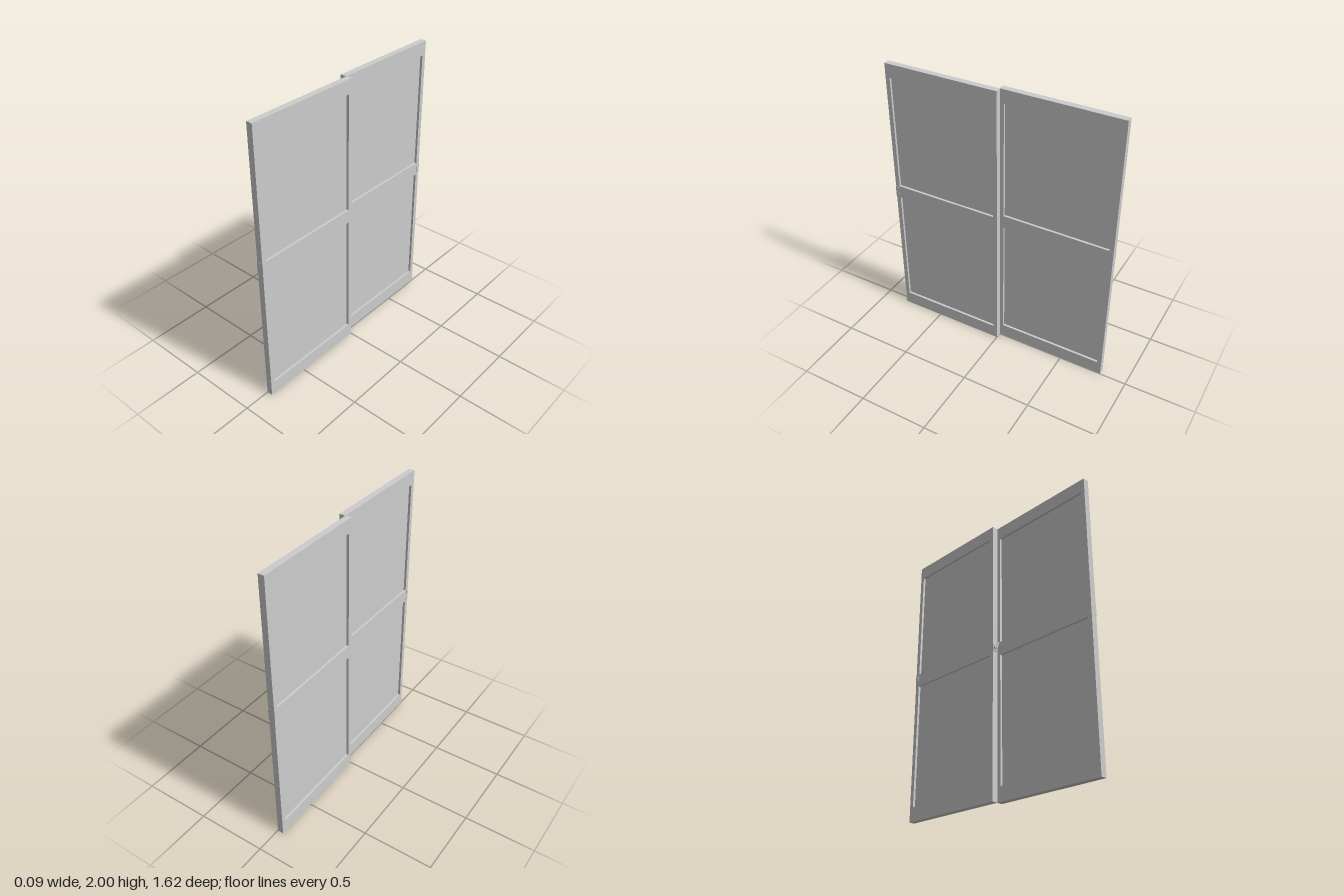
import * as THREE from 'three';

const W = 0.814, H = 2, T = 0.043; // sash width, height, thickness

export function createModel() {
  const grey = new THREE.MeshStandardMaterial({ color: 0xcccccc });
  grey.name = 'plain grey';
  const root = new THREE.Group();
  root.name = 'slidingWindow';

  const add = (parent, name, geo, x = 0, y = 0, z = 0) => {
    const m = new THREE.Mesh(geo, grey);
    m.name = name;
    m.position.set(x, y, z);
    parent.add(m);
    return m;
  };
  const rect = (path, x0, y0, x1, y1) =>
    path.moveTo(x0, y0).lineTo(x1, y0).lineTo(x1, y1).lineTo(x0, y1).closePath();

  // One sash: frame with two openings, recessed panes, wrapped pull at its outer end
  function sash(name, x, z, outer) {
    const g = new THREE.Group();
    g.name = name;
    g.position.set(x, 0, z);
    root.add(g);
    const shape = new THREE.Shape();
    rect(shape, -W / 2, 0, W / 2, H);
    const half = W / 2 - 0.031;
    for (const [y0, y1] of [[0.1, 0.99], [1.085, 1.905]]) {
      const hole = new THREE.Path();
      rect(hole, -half, y0, half, y1);
      shape.holes.push(hole);
      add(g, 'pane', new THREE.BoxGeometry(0.01, y1 - y0, half * 2), 0, (y0 + y1) / 2, 0);
    }
    const frame = new THREE.ExtrudeGeometry(shape, { depth: T, bevelEnabled: false });
    frame.translate(0, 0, -T / 2).rotateY(-Math.PI / 2);
    add(g, 'frame', frame);
    // U-shaped pull plate around the outer edge
    for (const s of [-1, 1]) {
      add(g, 'pullCheek', new THREE.BoxGeometry(0.003, 0.08, 0.022),
        s * (T / 2 + 0.0008), 1.04, outer * (W / 2 - 0.011));
    }
    add(g, 'pullEdge', new THREE.BoxGeometry(T + 0.004, 0.08, 0.002), 0, 1.04, outer * W / 2);
    return g;
  }

  sash('frontSash', 0.02, 0.404, 1);
  const back = sash('backSash', -0.0235, -0.404, -1);

  // Latch on the inner edge of the back sash
  const latch = new THREE.Group();
  latch.name = 'latch';
  latch.position.set(0, 1.04, W / 2);
  back.add(latch);
  add(latch, 'latchPlate', new THREE.BoxGeometry(0.034, 0.05, 0.006), 0, 0, 0.003);
  const hub = new THREE.CylinderGeometry(0.013, 0.013, 0.01, 20).rotateX(Math.PI / 2);
  add(latch, 'latchHub', hub, -0.003, 0, 0.01);
  const lever = add(latch, 'latchLever', new THREE.BoxGeometry(0.009, 0.05, 0.007), 0.005, 0.017, 0.0175);
  lever.rotation.z = -0.35;

  return root;
}
